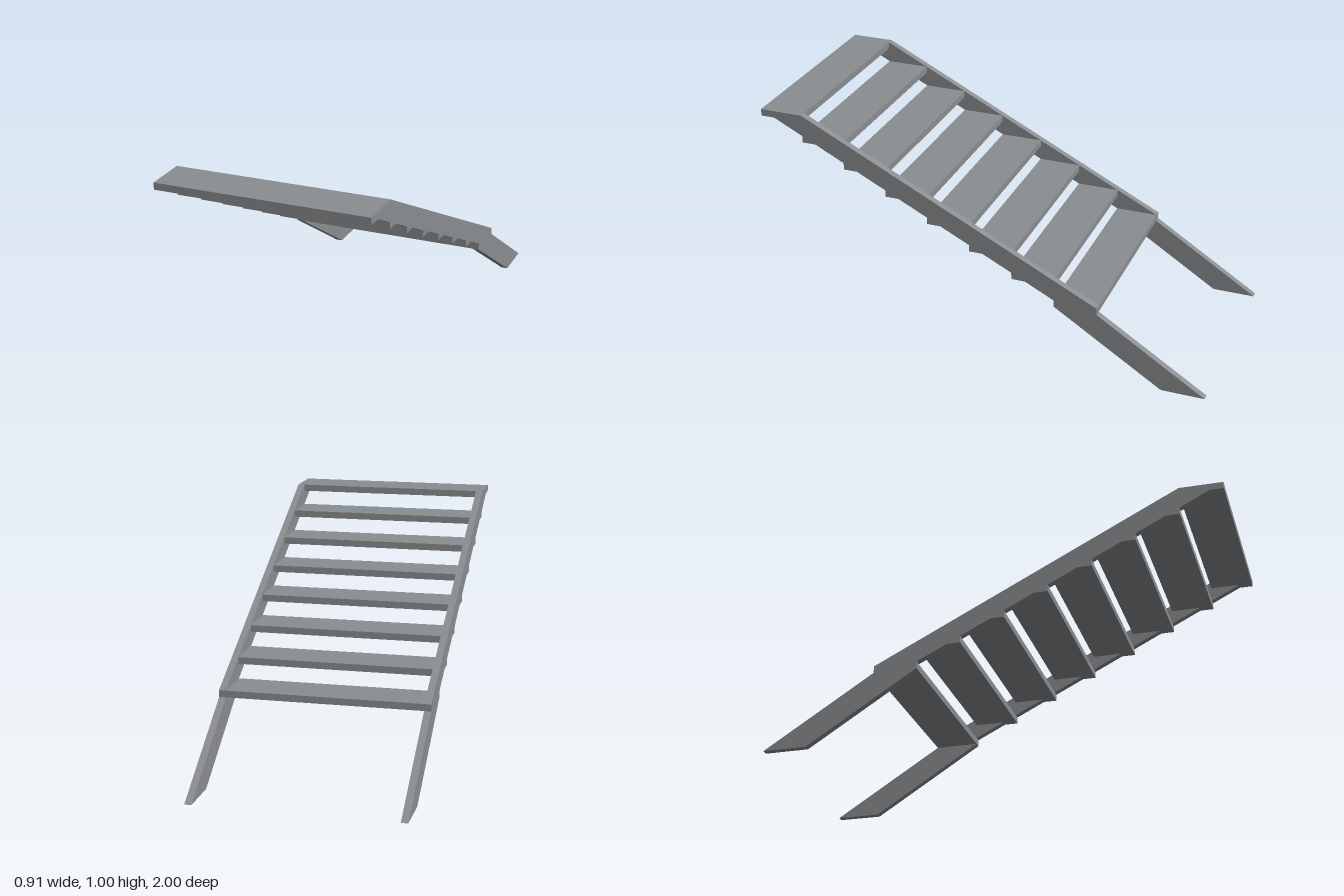
import * as THREE from 'three';

const STEPS = 8, RUN = 0.19, RISE = 0.095, THICK = 0.03;
const HALF = 0.455, BOARD = 0.03;

export function createModel() {
  const model = new THREE.Group();
  model.name = 'staircase';
  const grey = new THREE.MeshStandardMaterial({ color: 0x8b8e91 });
  grey.name = 'steel grey';

  // Side board from a (z, y) outline, extruded across x
  const board = (name, points, outerX) => {
    const shape = new THREE.Shape(points.map(([z, y]) => new THREE.Vector2(z, y)));
    const geo = new THREE.ExtrudeGeometry(shape, { depth: BOARD, bevelEnabled: false });
    geo.rotateY(-Math.PI / 2);
    const mesh = new THREE.Mesh(geo, grey);
    mesh.name = name;
    mesh.position.x = outerX;
    return mesh;
  };

  // Full-width treads, descending towards the back
  const treads = new THREE.Group();
  treads.name = 'treads';
  for (let i = 0; i < STEPS; i++) {
    const tread = new THREE.Mesh(new THREE.BoxGeometry(HALF * 2, THICK, RUN), grey);
    tread.name = 'tread' + (i + 1);
    tread.position.set(0, 1 - i * RISE - THICK / 2, 1 - (i + 0.5) * RUN);
    treads.add(tread);
  }
  model.add(treads);

  // Stringers: sloped pieces between the treads, then a steeper foot
  for (const [name, x] of [['leftStringer', HALF], ['rightStringer', -HALF + BOARD]]) {
    const stringer = new THREE.Group();
    stringer.name = name;
    for (let i = 0; i < STEPS - 1; i++) {
      const top = 1 - i * RISE, front = 1 - i * RUN, back = front - RUN;
      stringer.add(board('stringerPiece' + (i + 1), [
        [back, top], [back - RUN, top - RISE], [back, top - RISE],
        [front - THICK * RUN / RISE, top - THICK], [back, top - THICK],
      ], x));
    }
    const y = 1 - (STEPS - 1) * RISE - THICK;
    const front = 1 - (STEPS - 1) * RUN;
    stringer.add(board('foot', [[front, y], [front - RUN, y], [-1, 0], [-0.81, 0]], x));
    model.add(stringer);
  }
  return model;
}
